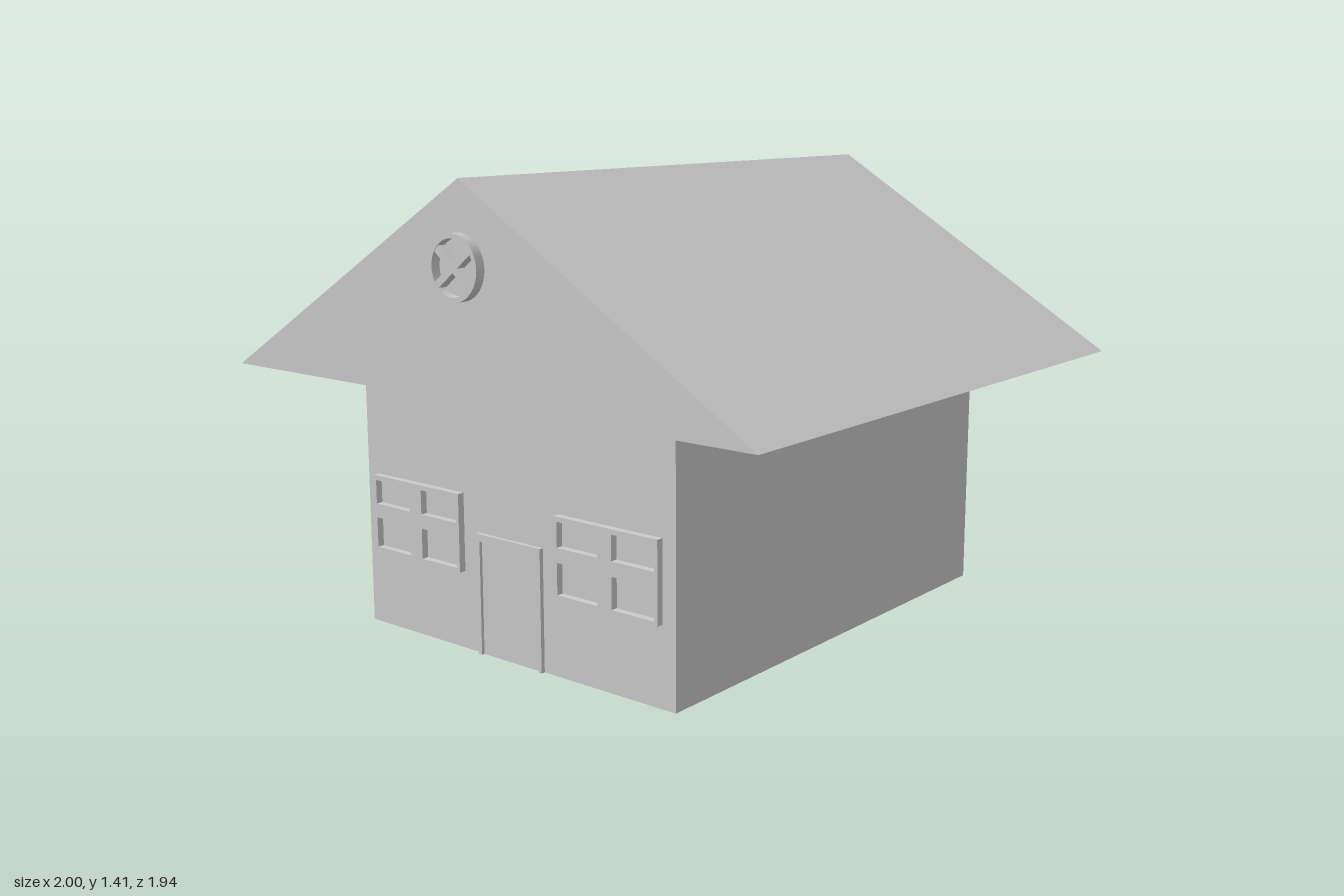
import * as THREE from 'three';

const material = new THREE.MeshStandardMaterial({ color: 0xcccccc, flatShading: true });
const smooth = new THREE.MeshStandardMaterial({ color: 0xcccccc });

const WALL_FRONT = 0.77, ROOF_FRONT = 0.94;

function add(parent, name, geometry, x = 0, y = 0, z = 0, mat = material) {
  const mesh = new THREE.Mesh(geometry, mat);
  mesh.name = name;
  mesh.position.set(x, y, z);
  parent.add(mesh);
  return mesh;
}

function polygon(points, Type = THREE.Shape) {
  return new Type(points.map(([x, y]) => new THREE.Vector2(x, y)));
}

function rect(x0, y0, x1, y1, Type) {
  return polygon([[x0, y0], [x1, y0], [x1, y1], [x0, y1]], Type);
}

function extrude(shape, depth, curveSegments = 12) {
  return new THREE.ExtrudeGeometry(shape, { depth, bevelEnabled: false, curveSegments });
}

// Four-pane window frame, open through to the wall behind
function windowFrame() {
  const shape = rect(-0.188, 0.24, 0.188, 0.48);
  for (const [x0, x1] of [[-0.176, -0.026], [0.026, 0.176]]) {
    for (const [y0, y1] of [[0.252, 0.346], [0.39, 0.465]]) {
      shape.holes.push(rect(x0, y0, x1, y1, THREE.Path));
    }
  }
  return extrude(shape, 0.022);
}

// Round gable window: thin ring with a diagonal cross
function gableWindow() {
  const group = new THREE.Group();
  group.name = 'gableWindow';
  const ring = new THREE.Shape().absarc(0, 0, 0.094, 0, Math.PI * 2);
  ring.holes.push(new THREE.Path().absarc(0, 0, 0.08, 0, Math.PI * 2, true));
  add(group, 'gableWindowRing', extrude(ring, 0.03, 32), 0, 0, 0, smooth);
  for (const side of [-1, 1]) {
    const bar = add(group, 'gableWindowBar', new THREE.BoxGeometry(0.182, 0.022, 0.028), 0, 0, 0.014);
    bar.rotation.z = side * 0.67;
  }
  group.position.set(0, 1.173, ROOF_FRONT);
  return group;
}

export function createModel() {
  const house = new THREE.Group();
  house.name = 'house';

  add(house, 'walls', new THREE.BoxGeometry(1.224, 0.8, 1.57), 0, 0.4, -0.015);

  // Solid gabled roof with overhanging eaves
  const gable = polygon([[-1, 0.8], [1, 0.8], [0, 1.412]]);
  add(house, 'roof', extrude(gable, 1.91), 0, 0, ROOF_FRONT - 1.91);

  for (const side of [-1, 1]) {
    add(house, side < 0 ? 'rightWindow' : 'leftWindow', windowFrame(), side * 0.379, 0, WALL_FRONT);
  }

  // Door surround with a recessed door leaf
  const surround = polygon([
    [-0.128, 0], [-0.115, 0], [-0.115, 0.348], [0.117, 0.348],
    [0.117, 0], [0.128, 0], [0.128, 0.37], [-0.128, 0.37],
  ]);
  add(house, 'doorFrame', extrude(surround, 0.013), 0, 0, WALL_FRONT);
  add(house, 'door', new THREE.BoxGeometry(0.232, 0.348, 0.004), 0.001, 0.174, WALL_FRONT + 0.001);

  house.add(gableWindow());
  return house;
}
